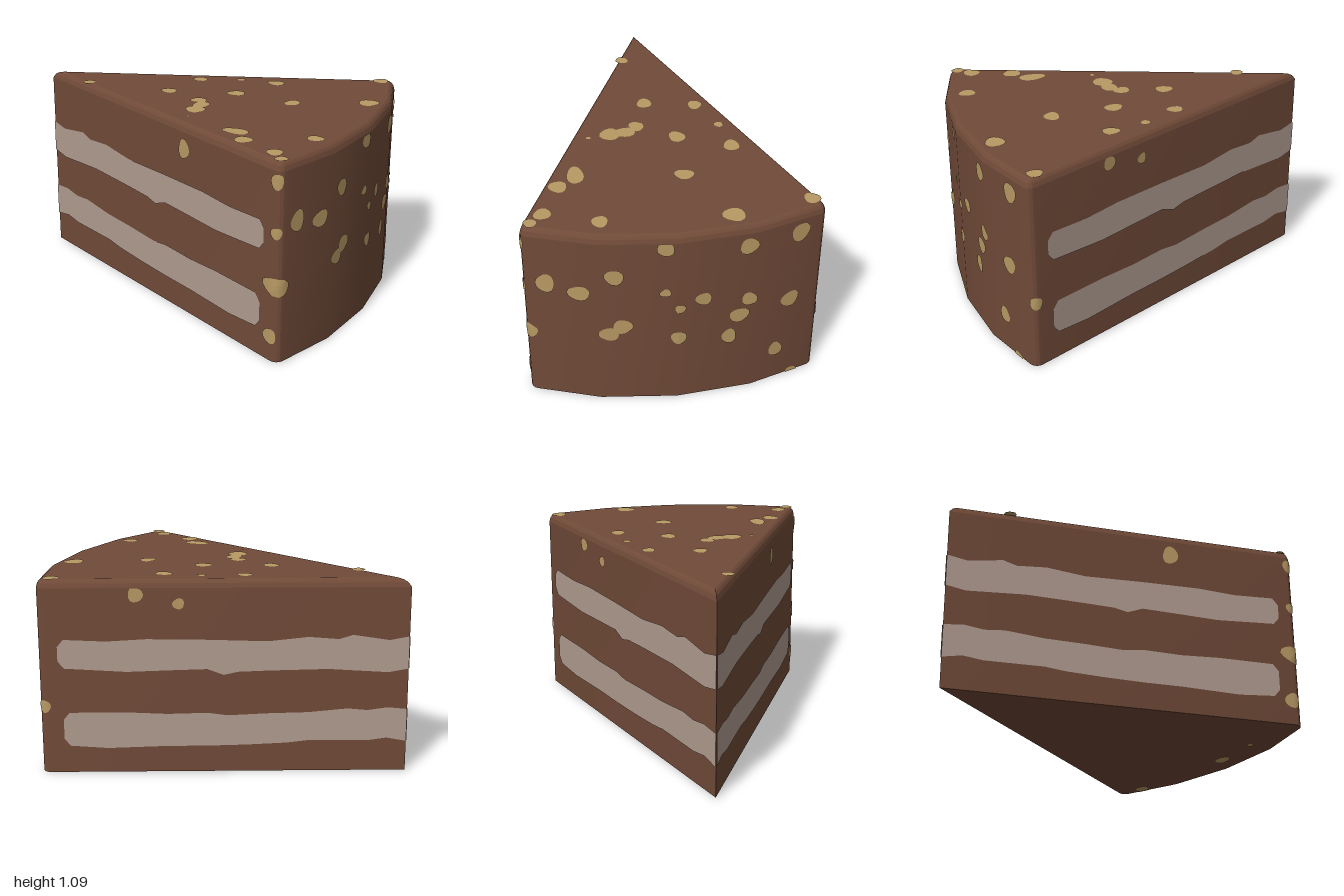
import * as THREE from 'three';
import { toCreasedNormals } from 'three/addons/utils/BufferGeometryUtils.js';

const mat = (name, color, side = THREE.FrontSide) => {
  const m = new THREE.MeshStandardMaterial({ color, side });
  m.name = name;
  return m;
};

const HEIGHT = 1.08, WALL_TOP = 1.035, LIFT = 0.005;

// Half outline from the middle of the outer arc, round the corner, to the tip: [x, z]
const half = [[1, 0], [0.96, 0.4]];
for (let i = 0; i <= 4; i++) {
  const a = THREE.MathUtils.degToRad(17 + 24 * i);
  half.push([0.812 + 0.043 * Math.cos(a), 0.717 + 0.043 * Math.sin(a)]);
}
half.push([-1, 0]);
// Full loop, starting at the tip and running along the front side
const outline = [...[...half].reverse(), ...half.slice(1, -1).map(([x, z]) => [x, -z])];

const edgeNormal = (p, q) => {
  const dx = q[0] - p[0], dz = q[1] - p[1], l = Math.hypot(dx, dz);
  return [-dz / l, dx / l];
};

// Outline moved inwards by d
function inset(d) {
  const n = outline.length;
  return outline.map((p, i) => {
    const a = edgeNormal(outline[(i + n - 1) % n], p), b = edgeNormal(p, outline[(i + 1) % n]);
    const k = d / (1 + a[0] * b[0] + a[1] * b[1]);
    return [p[0] - (a[0] + b[0]) * k, p[1] - (a[1] + b[1]) * k];
  });
}

// Wedge with a rounded top rim, lofted through inset outlines
function wedgeGeometry() {
  const levels = [[0, 0], [WALL_TOP, 0], [1.06, 0.008], [1.073, 0.018], [HEIGHT, 0.03]];
  const n = outline.length, pos = [], idx = [];
  for (const [y, d] of levels) for (const [x, z] of inset(d)) pos.push(x, y, z);
  for (let l = 0; l < levels.length - 1; l++) {
    for (let i = 0; i < n; i++) {
      const a = l * n + i, b = l * n + (i + 1) % n;
      idx.push(a, b, b + n, a, b + n, a + n);
    }
  }
  const t = (levels.length - 1) * n;
  for (let i = 1; i < n - 1; i++) idx.push(t, t + i, t + i + 1, 0, i + 1, i);
  const g = new THREE.BufferGeometry();
  g.setAttribute('position', new THREE.Float32BufferAttribute(pos, 3));
  g.setIndex(idx);
  return toCreasedNormals(g, 0.25);
}

// Point on the wall: s is the distance round the outline from the arc's middle, + towards the front
function wallPoint(s, y) {
  const sign = s < 0 ? -1 : 1;
  let rest = Math.abs(s);
  for (let i = 0; i < half.length - 1; i++) {
    const p = half[i], q = half[i + 1], l = Math.hypot(q[0] - p[0], q[1] - p[1]);
    if (rest <= l || i === half.length - 2) {
      const t = rest / l, n = edgeNormal(q, p);
      return [
        p[0] + (q[0] - p[0]) * t + n[0] * LIFT,
        THREE.MathUtils.clamp(y, 0, WALL_TOP),
        sign * (p[1] + (q[1] - p[1]) * t + n[1] * LIFT),
      ];
    }
    rest -= l;
  }
}

// Distance along the outline at position x on a cut side
const cornerEnd = half[half.length - 2];
const slope = Math.atan2(cornerEnd[1], cornerEnd[0] + 1);
let cornerLength = 0;
for (let i = 0; i < half.length - 2; i++) {
  cornerLength += Math.hypot(half[i + 1][0] - half[i][0], half[i + 1][1] - half[i][1]);
}
const sideS = x => cornerLength + (cornerEnd[0] - x) / Math.cos(slope);

// Irregular flat nut piece laid onto a surface by the given mapping
function nutGeometry([u, v, ru, rv = ru], map) {
  const g = new THREE.RingGeometry(0, 1, 14, 4), p = g.attributes.position;
  for (let i = 0; i < p.count; i++) {
    const x = p.getX(i), y = p.getY(i), a = Math.atan2(y, x);
    const w = 1 + 0.07 * Math.sin(3 * a + u * 40) + 0.05 * Math.sin(2 * a + v * 30);
    p.setXYZ(i, ...map(u + x * ru * w, v + y * rv * w));
  }
  g.computeVertexNormals();
  return g;
}

// Cream layers: upper and lower edges as [x, y]
const layers = [
  {
    top: [[-1, .355], [-.9, .365], [-.8, .35], [-.7, .36], [-.5, .34], [-.3, .335], [-.1, .325], [0, .34], [.2, .335], [.4, .345], [.69, .345]],
    bottom: [[.69, .155], [.5, .14], [.2, .15], [0, .15], [-.2, .155], [-.4, .165], [-.5, .178], [-.8, .175], [-.9, .19], [-1, .17]],
  },
  {
    top: [[-1, .765], [-.9, .745], [-.72, .775], [-.65, .752], [-.5, .765], [-.3, .742], [0, .752], [.3, .757], [.5, .745], [.71, .755]],
    bottom: [[.71, .595], [.4, .575], [.2, .582], [0, .588], [-.08, .555], [-.15, .572], [-.3, .578], [-.6, .585], [-.9, .565], [-1, .585]],
  },
];

function creamGeometry({ top, bottom }, dir) {
  const [ex, ey] = top[top.length - 1], by = bottom[0][1];
  const end = [[ex + 0.03, ey - 0.04], [ex + 0.03, by + 0.04]];
  const pts = [...top, ...end, ...bottom].map(([x, y]) => new THREE.Vector2(dir * (x + 1) / Math.cos(slope), y));
  return new THREE.ShapeGeometry(new THREE.Shape(pts));
}

// Nut pieces: [u, v, radius u, radius v]
const topNuts = [
  [.78, -.7, .045, .04], [.27, -.38, .048, .043], [.065, -.345, .024], [-.145, -.245, .045, .035],
  [.155, -.105, .05, .043], [.5, -.095, .042, .05], [.865, -.29, .055], [-.195, .03, .045, .042],
  [-.675, .105, .035], [.03, .1, .045, .04], [.08, .17, .045, .06], [.09, .25, .053, .055],
  [.11, .365, .012], [.44, .46, .072, .045], [.53, .555, .05, .045], [.745, .645, .043, .045],
  [.81, .71, .033], [.84, .37, .048, .038],
];
const arcNuts = [
  [.67, .755, .05, .058], [.5, .715, .057, .048], [.32, .83, .05, .047], [.28, .505, .05, .048],
  [.35, .455, .05, .045], [.065, 1.01, .045, .05], [.065, .725, .03, .026], [-.01, .615, .03, .026],
  [-.005, .42, .041], [-.13, .66, .042], [-.355, .96, .05, .048], [-.64, .96, .053, .055],
  [-.37, .615, .042], [-.32, .515, .052, .046], [-.27, .38, .041, .048], [-.605, .535, .053, .05],
  [-.54, .205, .042, .048], [-.65, 0, .035, .03],
  [.8, .98, .035, .04], [.8, .71, .03, .032], [.8, .42, .08, .05], [.83, .14, .045, .042], [-.8, .38, .035],
];
const sideNuts = [
  [sideS(.155), .945, .045, .055], [-sideS(.35), 1.0, .042, .04], [-sideS(.14), .95, .032, .03],
];
const bottomNuts = [[.87, .1, .03, .05], [.82, .38, .02], [.85, -.6, .03, .045]];

export function createModel() {
  const sponge = mat('chocolate brown', 0x704a38);
  const cream = mat('cream', 0xb09c90, THREE.DoubleSide);
  const nut = mat('nut tan', 0xb89a64, THREE.DoubleSide);
  const model = new THREE.Group();
  model.name = 'cakeSlice';
  const add = (name, geometry, material, parent = model) => {
    const m = new THREE.Mesh(geometry, material);
    m.name = name;
    parent.add(m);
    return m;
  };

  add('sponge', wedgeGeometry(), sponge);

  // Cream layers on both cut sides
  for (const dir of [1, -1]) {
    layers.forEach((layer, i) => {
      const m = add(`${i ? 'upper' : 'lower'}Cream${dir > 0 ? 'Front' : 'Back'}`, creamGeometry(layer, dir), cream);
      m.rotation.y = dir > 0 ? -slope : Math.PI + slope;
      m.position.set(-1 - Math.sin(slope) * LIFT, 0, dir * Math.cos(slope) * LIFT);
    });
  }

  // Nut pieces on every face
  const nuts = new THREE.Group();
  nuts.name = 'nuts';
  model.add(nuts);
  const scatter = (name, list, map) => list.forEach(n => add(name, nutGeometry(n, map), nut, nuts));
  scatter('topNut', topNuts, (x, z) => [x, HEIGHT + 0.003, z]);
  scatter('outerNut', arcNuts, wallPoint);
  scatter('sideNut', sideNuts, wallPoint);
  scatter('bottomNut', bottomNuts, (x, z) => [x, -0.003, z]);
  return model;
}
